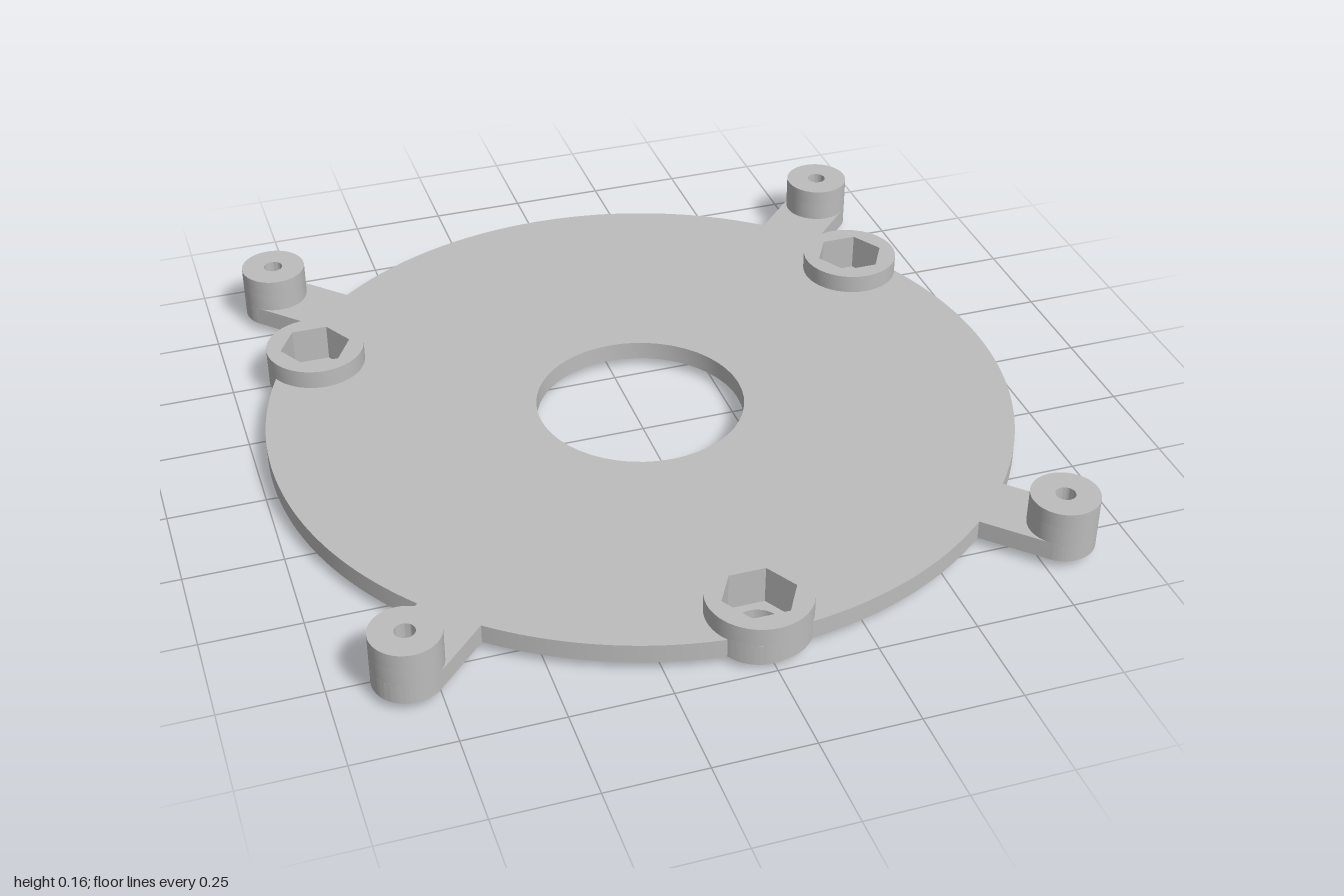
import * as THREE from 'three';
import { toCreasedNormals } from 'three/addons/utils/BufferGeometryUtils.js';

const PLATE_R = 0.975, POST_R = 0.086, POST_DIST = 1.153, BOSS_R = 0.13, BOSS_DIST = 0.892;
const rad = (deg) => deg * Math.PI / 180;
const polar = (r, a) => [r * Math.cos(a), r * Math.sin(a)];

const circle = (x, y, r, T = THREE.Path) => new T().absarc(x, y, r, 0, Math.PI * 2, false);

// Hexagonal nut pocket with corners on the x axis
function hexagon(x, y, r) {
  const pts = [];
  for (let i = 0; i < 6; i++) {
    const [dx, dy] = polar(r, rad(60 * i));
    pts.push(new THREE.Vector2(x + dx, y + dy));
  }
  return new THREE.Path(pts);
}

// Stands a flat shape up between two heights
function slab(shape, y0, y1) {
  const g = new THREE.ExtrudeGeometry(shape, { depth: y1 - y0, bevelEnabled: false, curveSegments: 24 });
  g.rotateX(-Math.PI / 2).translate(0, y0, 0);
  return toCreasedNormals(g, rad(30));
}

export function createModel() {
  const model = new THREE.Group();
  model.name = 'mountingPlate';
  const body = new THREE.Group();
  body.name = 'plateBody';
  body.position.z = -0.025;
  model.add(body);

  const grey = new THREE.MeshStandardMaterial({ color: 0xbcbcbc });
  grey.name = 'grey';
  const add = (name, shape, y0, y1) => {
    const mesh = new THREE.Mesh(slab(shape, y0, y1), grey);
    mesh.name = name;
    body.add(mesh);
  };

  // Arms and nut bosses in order round the rim
  const features = [[30, 'boss'], [45, 'arm'], [135, 'arm'], [150, 'boss'], [225, 'arm'], [270, 'boss'], [315, 'arm']]
    .map(([deg, kind]) => ({ a: rad(deg), kind }));

  // Where a boss circle meets the rim
  const meetX = (PLATE_R ** 2 + BOSS_DIST ** 2 - BOSS_R ** 2) / (2 * BOSS_DIST);
  const meetY = Math.sqrt(PLATE_R ** 2 - meetX ** 2);
  const bossSweep = Math.atan2(meetY, meetX - BOSS_DIST);
  const armHalf = Math.asin(POST_R / PLATE_R), bossHalf = Math.asin(meetY / PLATE_R);

  // Plate outline with arms, central opening, nut pockets and screw holes
  const plate = new THREE.Shape();
  let from = rad(-45) + armHalf;
  plate.moveTo(...polar(PLATE_R, from));
  for (const { a, kind } of features) {
    const arm = kind === 'arm';
    const half = arm ? armHalf : bossHalf;
    const sweep = arm ? Math.PI / 2 : bossSweep;
    const [x, y] = polar(arm ? POST_DIST : BOSS_DIST, a);
    plate.absarc(0, 0, PLATE_R, from, a - half, false);
    plate.absarc(x, y, arm ? POST_R : BOSS_R, a - sweep, a + sweep, false);
    plate.holes.push(arm ? circle(x, y, 0.042) : hexagon(x, y, 0.093));
    from = a + half;
  }
  plate.closePath();
  plate.holes.push(circle(0, 0, 0.273));
  add('plate', plate, 0.025, 0.075);

  // Stacked rings for each post and each boss
  const ring = (x, y, r, hole) => {
    const s = circle(x, y, r, THREE.Shape);
    s.holes.push(hole);
    return s;
  };
  for (const { a, kind } of features) {
    if (kind === 'arm') {
      const [x, y] = polar(POST_DIST, a);
      add('postSleeve', ring(x, y, POST_R, circle(x, y, 0.042)), 0.075, 0.125);
      add('postCap', ring(x, y, POST_R, circle(x, y, 0.025)), 0.125, 0.165);
    } else {
      const [x, y] = polar(BOSS_DIST, a);
      add('nutBoss', ring(x, y, BOSS_R, hexagon(x, y, 0.093)), 0.075, 0.125);
      add('bossFoot', ring(x, y, 0.107, circle(x, y, 0.059)), 0, 0.025);
    }
  }
  return model;
}
